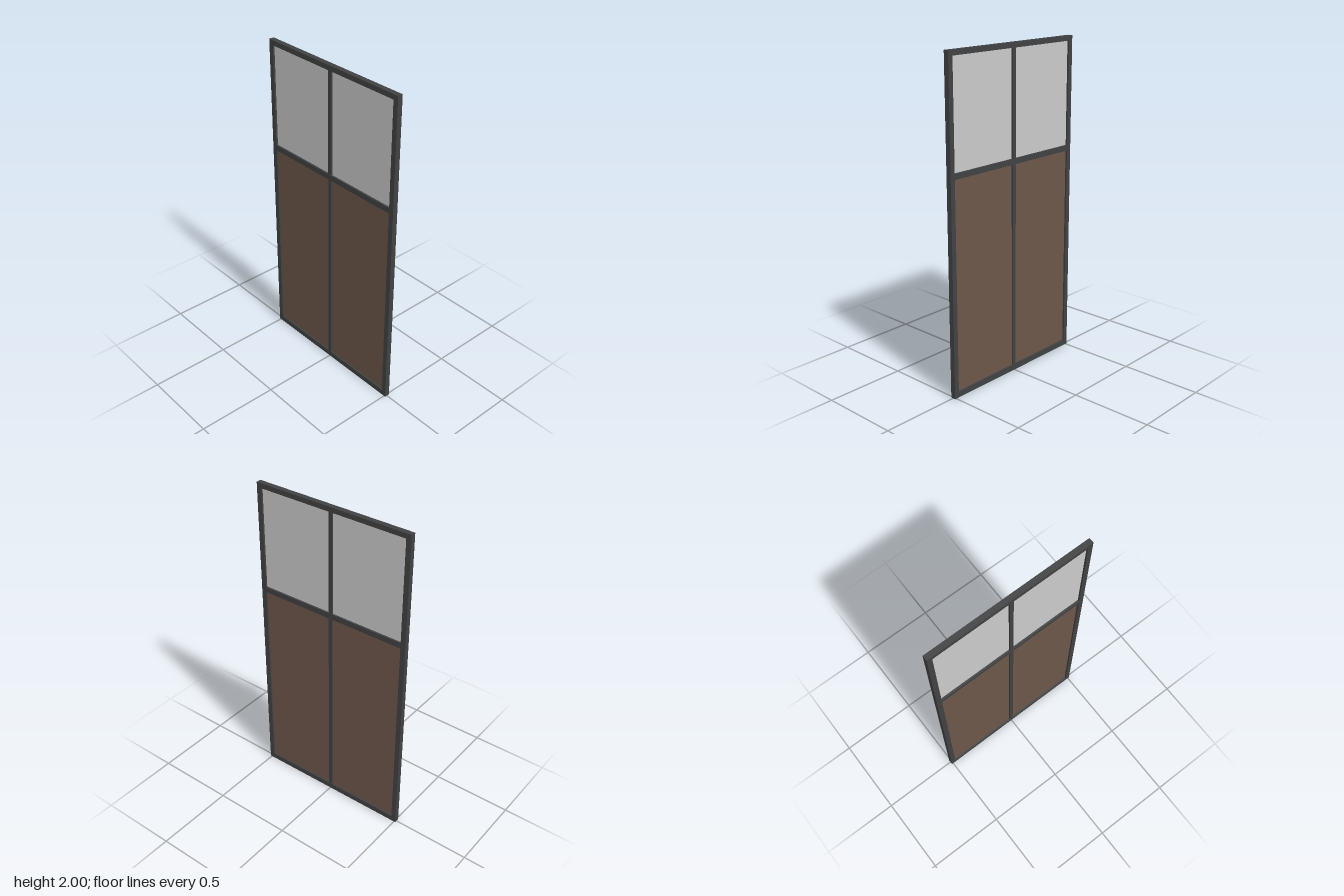
import * as THREE from 'three';

const paint = (name, color) => {
  const m = new THREE.MeshStandardMaterial({ color });
  m.name = name;
  return m;
};

export function createModel() {
  const group = new THREE.Group();
  group.name = 'panelledScreen';
  const frame = paint('dark grey frame', 0x414243);
  const glass = paint('pale grey glass', 0xcacaca);
  const wood = paint('brown panel', 0x6d574a);

  // Box given by its depth in x and its extents in y and z
  const slab = (name, material, depth, y0, y1, z0, z1) => {
    const mesh = new THREE.Mesh(new THREE.BoxGeometry(depth, y1 - y0, z1 - z0), material);
    mesh.position.set(0, (y0 + y1) / 2, (z0 + z1) / 2);
    mesh.name = name;
    group.add(mesh);
  };

  const depth = 0.032, half = 0.51, inner = 0.479, bar = 0.012;
  const railLow = 1.304, railHigh = 1.338, sill = 0.035, head = 1.97;

  // Outer frame and middle rail
  slab('frontStile', frame, depth, 0, 2, inner, half);
  slab('backStile', frame, depth, 0, 2, -half, -inner);
  slab('bottomRail', frame, depth, 0, sill, -inner, inner);
  slab('middleRail', frame, depth, railLow, railHigh, -inner, inner);
  slab('topRail', frame, depth, head, 2, -inner, inner);

  // Centre bars and the recessed infill on both sides of them
  for (const [name, material, y0, y1] of [
    ['lowerPanel', wood, sill, railLow],
    ['upperPane', glass, railHigh, head],
  ]) {
    slab(name + 'Bar', frame, depth - 0.002, y0, y1, -bar, bar);
    slab(name + 'Front', material, 0.01, y0, y1, bar, inner);
    slab(name + 'Back', material, 0.01, y0, y1, -inner, -bar);
  }

  // The leaf stands very slightly turned
  group.rotation.y = 0.003;
  return group;
}
